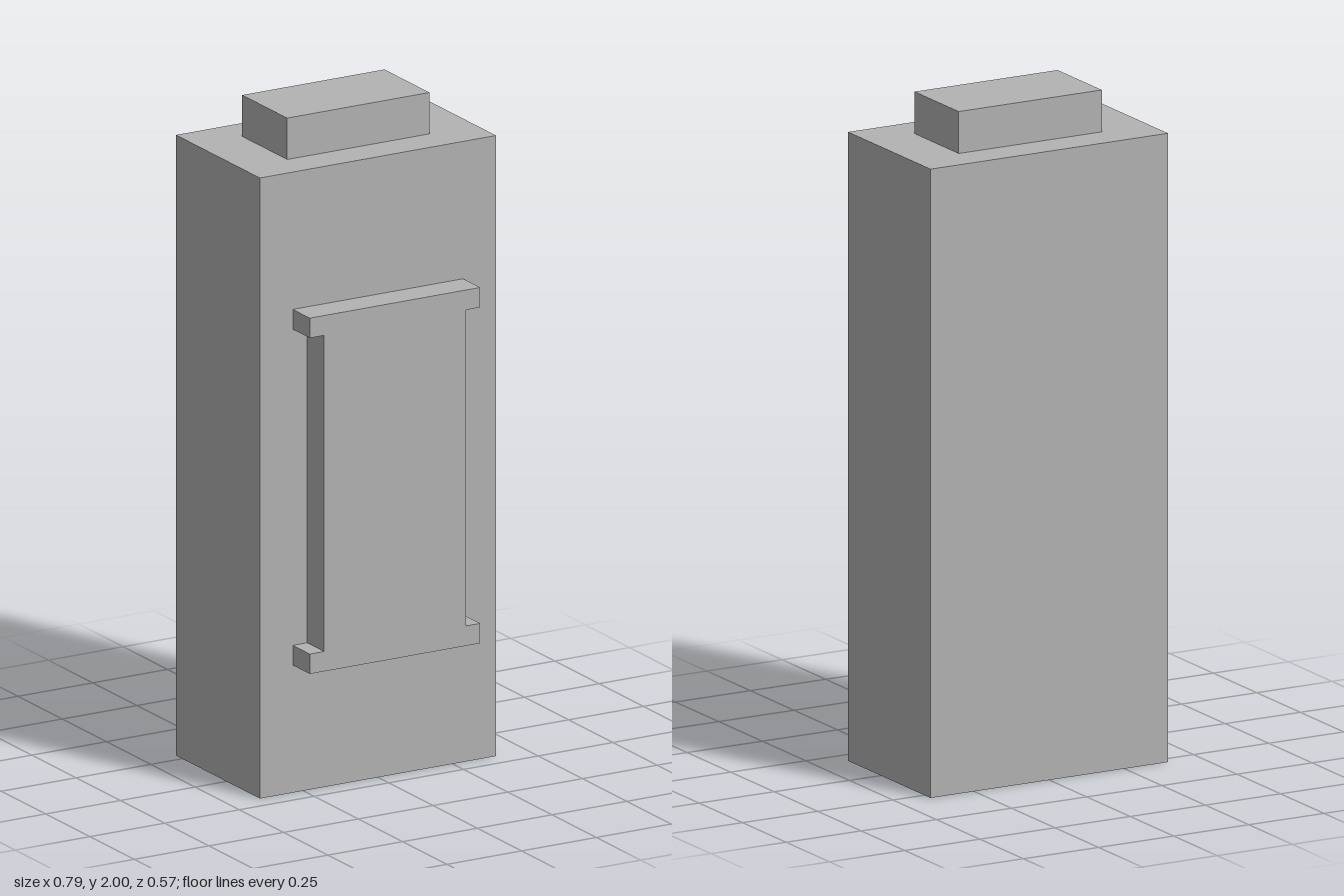
import * as THREE from 'three';

export function createModel() {
  const model = new THREE.Group();
  const grey = new THREE.MeshStandardMaterial({ color: 0xb3b3b3 });
  grey.name = 'grey';

  function add(name, geometry, x, y, z) {
    const mesh = new THREE.Mesh(geometry, grey);
    mesh.name = name;
    mesh.position.set(x, y, z);
    model.add(mesh);
  }

  // Tall main block
  add('body', new THREE.BoxGeometry(0.79, 1.875, 0.474), 0, 0.9375, -0.048);

  // Small raised block on top
  add('topCap', new THREE.BoxGeometry(0.476, 0.125, 0.254), 0, 1.9375, -0.049);

  // I-shaped raised panel on the front, mirrored left and right
  const side = [[0.285, 0.385], [0.285, 0.445], [0.237, 0.445], [0.237, 1.4], [0.285, 1.4], [0.285, 1.46]];
  const outline = [...side, ...side.map(([x, y]) => [-x, y]).reverse()];
  const shape = new THREE.Shape(outline.map(([x, y]) => new THREE.Vector2(x, y)));
  add('frontPanel', new THREE.ExtrudeGeometry(shape, { depth: 0.096, bevelEnabled: false }), 0, 0, 0.189);

  return model;
}
